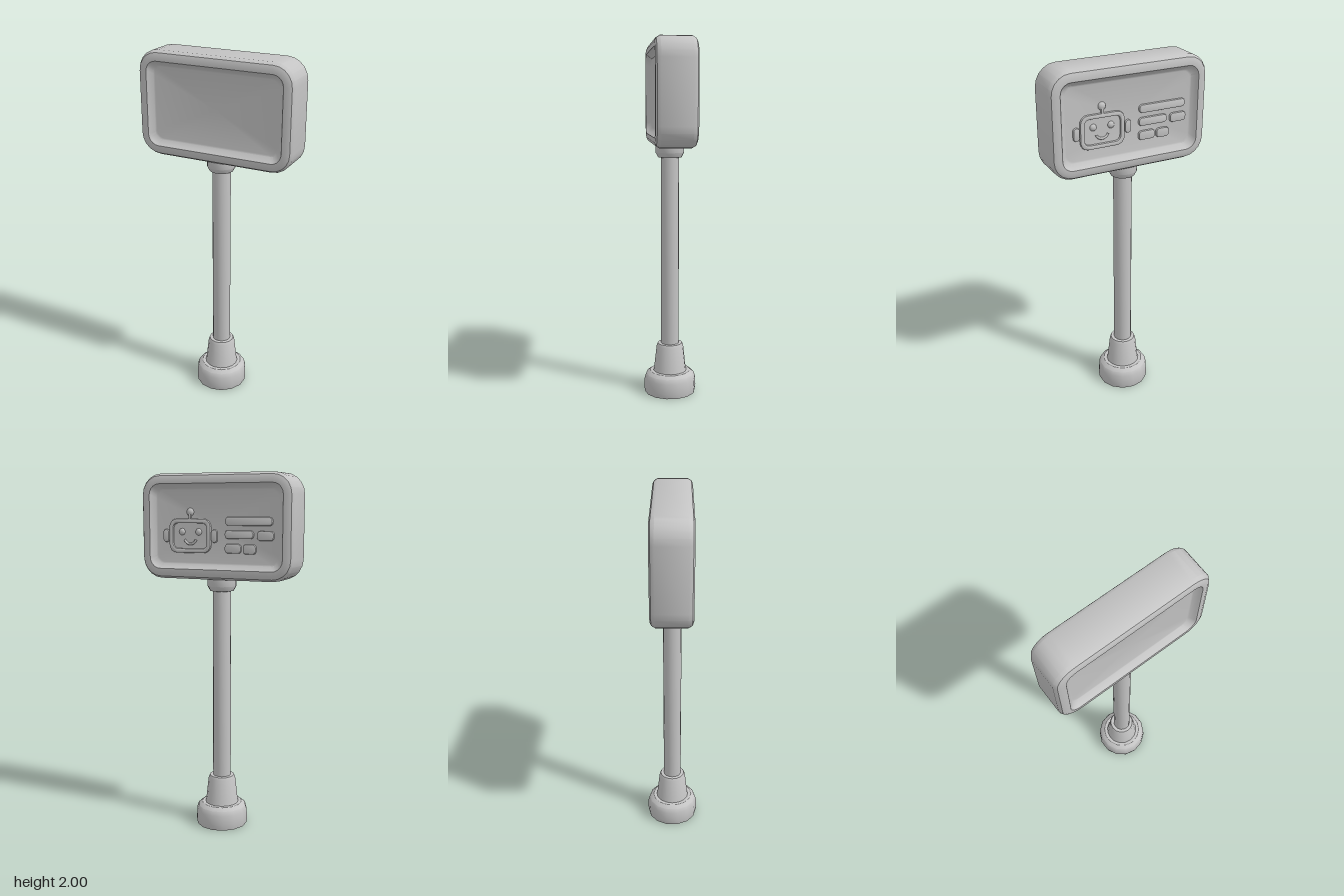
import * as THREE from 'three';
import { toCreasedNormals } from 'three/addons/utils/BufferGeometryUtils.js';

const grey = new THREE.MeshStandardMaterial({ color: 0xc4c4c4 });
grey.name = 'plain grey';

function addMesh(parent, name, geometry, x = 0, y = 0, z = 0) {
  const mesh = new THREE.Mesh(geometry, grey);
  mesh.name = name;
  mesh.position.set(x, y, z);
  parent.add(mesh);
  return mesh;
}

// Counter-clockwise outline of a rounded rectangle
function roundedOutline(w, h, r, steps) {
  const pts = [];
  const signs = [[1, 1], [-1, 1], [-1, -1], [1, -1]];
  signs.forEach(([sx, sy], c) => {
    for (let i = 0; i <= steps; i++) {
      const a = (c + i / steps) * Math.PI / 2;
      pts.push(new THREE.Vector2(
        sx * (w / 2 - r) + r * Math.cos(a), sy * (h / 2 - r) + r * Math.sin(a)));
    }
  });
  return pts;
}

// Board lofted from back panel, over the rim, to front panel
function boardGeometry() {
  const half = [[0.055, 0.11], [0.03, 0.11], [0.012, 0.102], [0, 0.082]];
  const recess = [[0.09, 0.076], [0.082, 0.078], [0.062, 0.1]];
  const front = [...recess, ...half];
  const rings = [...front.map(([i, z]) => [i, -z]), ...front.slice().reverse()];
  const pos = [], index = [];
  let n = 0;
  for (const [inset, z] of rings) {
    const ring = roundedOutline(0.89 - 2 * inset, 0.57 - 2 * inset, Math.max(0.115 - inset, 0.045), 5);
    n = ring.length;
    for (const p of ring) pos.push(p.x, p.y, z);
  }
  for (let i = 0; i < rings.length - 1; i++) {
    for (let j = 0; j < n; j++) {
      const a = i * n + j, b = i * n + (j + 1) % n;
      index.push(a, b, b + n, a, b + n, a + n);
    }
  }
  // Flat panels close both sides
  const back = pos.length / 3, face = back + 1, last = (rings.length - 1) * n;
  pos.push(0, 0, -0.076, 0, 0, 0.076);
  for (let j = 0; j < n; j++) {
    const k = (j + 1) % n;
    index.push(back, k, j, face, last + j, last + k);
  }
  const g = new THREE.BufferGeometry();
  g.setAttribute('position', new THREE.Float32BufferAttribute(pos, 3));
  g.setIndex(index);
  return toCreasedNormals(g, 0.6);
}

// Raised pad with soft edges, optionally hollow
function padGeometry(w, h, r, frame = 0) {
  const b = 0.006;
  const shape = new THREE.Shape(roundedOutline(w - 2 * b, h - 2 * b, r - b, 4));
  if (frame) {
    const hole = roundedOutline(w - 2 * frame + 2 * b, h - 2 * frame + 2 * b, r - frame / 2, 4);
    shape.holes.push(new THREE.Path(hole.reverse()));
  }
  const g = new THREE.ExtrudeGeometry(shape, {
    depth: 0.008, bevelEnabled: true, bevelSize: b, bevelThickness: b, bevelSegments: 2 });
  return toCreasedNormals(g, 0.7);
}

function turned(points, sides) {
  const g = new THREE.LatheGeometry(points.map(([r, y]) => new THREE.Vector2(r, y)), sides);
  return toCreasedNormals(g, 0.6);
}

export function createModel() {
  const model = new THREE.Group();
  model.name = 'signPost';

  // Post and base
  addMesh(model, 'foot', turned([
    [0, 0], [0.145, 0], [0.15, 0.03], [0.147, 0.085], [0.138, 0.11], [0.115, 0.127], [0, 0.13],
  ], 14));
  addMesh(model, 'baseSleeve', turned([
    [0.098, 0.12], [0.092, 0.14], [0.077, 0.275], [0.07, 0.29], [0, 0.292],
  ], 16));
  addMesh(model, 'post', turned([[0.051, 0.28], [0.051, 1.4]], 16));
  addMesh(model, 'collar', turned([
    [0.045, 1.36], [0.066, 1.364], [0.08, 1.39], [0.08, 1.435],
  ], 16));

  // Sign board
  addMesh(model, 'board', boardGeometry(), 0, 1.715, 0);

  // Raised details on the back panel
  const relief = new THREE.Group();
  relief.name = 'backRelief';
  relief.rotation.y = Math.PI;
  relief.position.set(0, 1.715, -0.075);
  model.add(relief);

  const face = new THREE.Group();
  face.name = 'robotFace';
  face.position.set(-0.155, -0.05, 0);
  relief.add(face);
  addMesh(face, 'headFrame', padGeometry(0.25, 0.185, 0.045, 0.024));
  for (const s of [-1, 1]) {
    addMesh(face, 'ear', padGeometry(0.035, 0.07, 0.016), s * 0.145, 0, 0);
    addMesh(face, 'eye', new THREE.SphereGeometry(0.019, 12, 8), s * 0.05, 0.022, 0)
      .scale.z = 0.7;
  }
  const mouth = addMesh(face, 'mouth', new THREE.TorusGeometry(0.036, 0.007, 6, 12, Math.PI * 0.8), 0, -0.008, 0.003);
  mouth.rotation.z = Math.PI * 1.1;
  addMesh(face, 'antennaStem', padGeometry(0.016, 0.04, 0.0075), 0, 0.105, 0);
  addMesh(face, 'antennaBall', new THREE.SphereGeometry(0.022, 12, 8), 0, 0.128, 0)
    .scale.z = 0.7;

  // Rounded bars: centre x, centre y, width, height
  const bars = [
    [0.19, 0.03, 0.27, 0.045],
    [0.135, -0.04, 0.165, 0.045],
    [0.285, -0.045, 0.095, 0.05],
    [0.1, -0.115, 0.095, 0.05],
    [0.195, -0.117, 0.075, 0.052],
  ];
  for (const [x, y, w, h] of bars) addMesh(relief, 'bar', padGeometry(w, h, 0.018), x, y, 0);

  return model;
}
